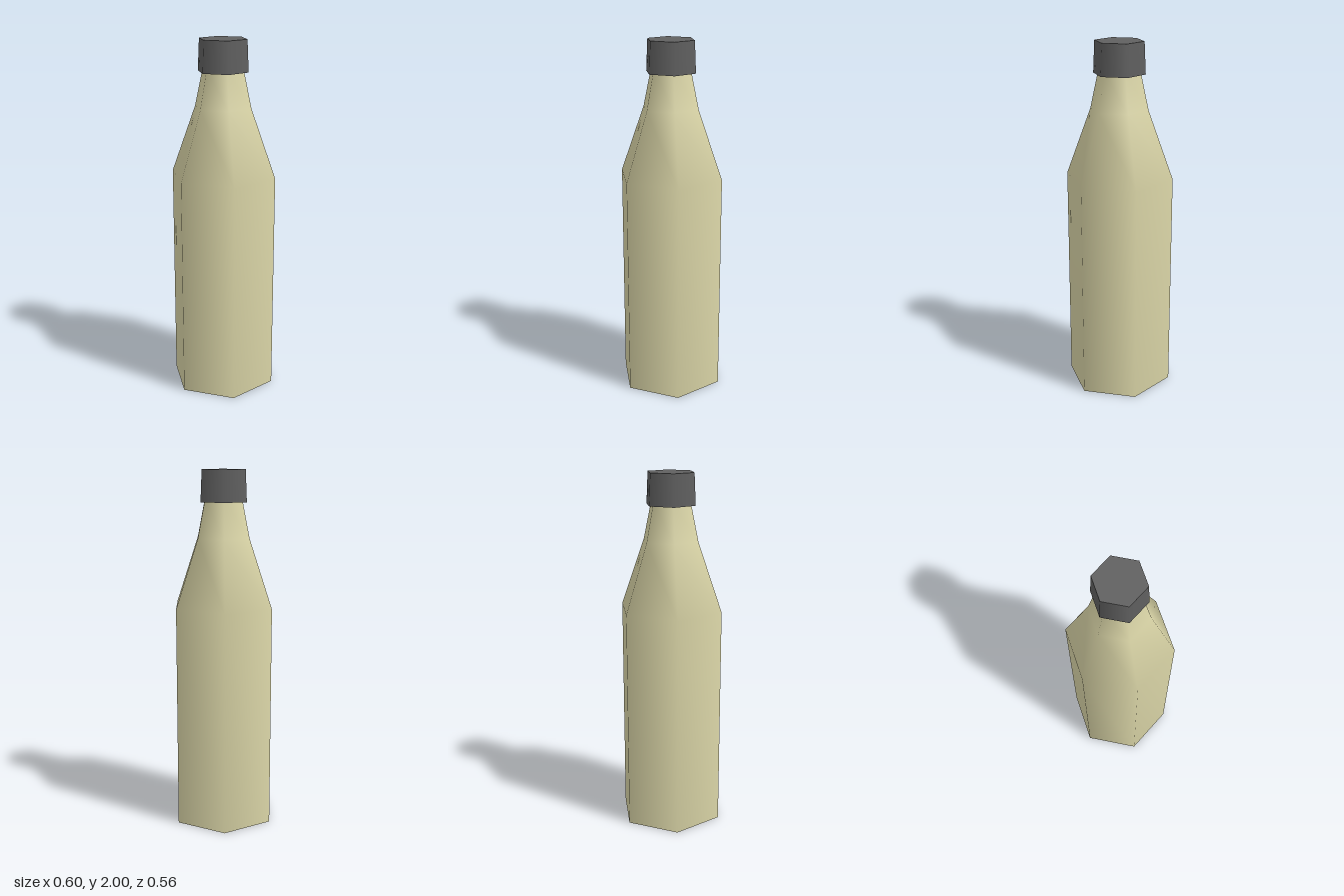
import * as THREE from 'three';

const SIDES = 6;
const TURN = THREE.MathUtils.degToRad(23.3); // twist of the hexagon about the vertical axis

export function createModel() {
  const model = new THREE.Group();
  model.name = 'bottle';

  const glass = new THREE.MeshStandardMaterial({ color: 0xdad5a7 });
  glass.name = 'pale straw';
  const dark = new THREE.MeshStandardMaterial({ color: 0x606060 });
  dark.name = 'dark grey';

  const add = (name, geometry, material, y = 0) => {
    const mesh = new THREE.Mesh(geometry, material);
    mesh.name = name;
    mesh.position.y = y;
    model.add(mesh);
  };

  // Straight body, sloping shoulder and tapered neck, smooth around six sides
  const profile = [[0.303, 0], [0.303, 1.25], [0.163, 1.63], [0.115, 1.85]]
    .map(([r, y]) => new THREE.Vector2(r, y));
  add('body', new THREE.LatheGeometry(profile, SIDES, TURN), glass);

  // Flat underside
  const base = new THREE.CircleGeometry(0.303, SIDES, Math.PI / 2 - TURN);
  base.rotateX(Math.PI / 2);
  add('base', base, glass);

  // Slightly tapered cap overhanging the neck
  add('cap', new THREE.CylinderGeometry(0.137, 0.145, 0.175, SIDES, 1, false, TURN), dark, 1.9125);

  return model;
}
